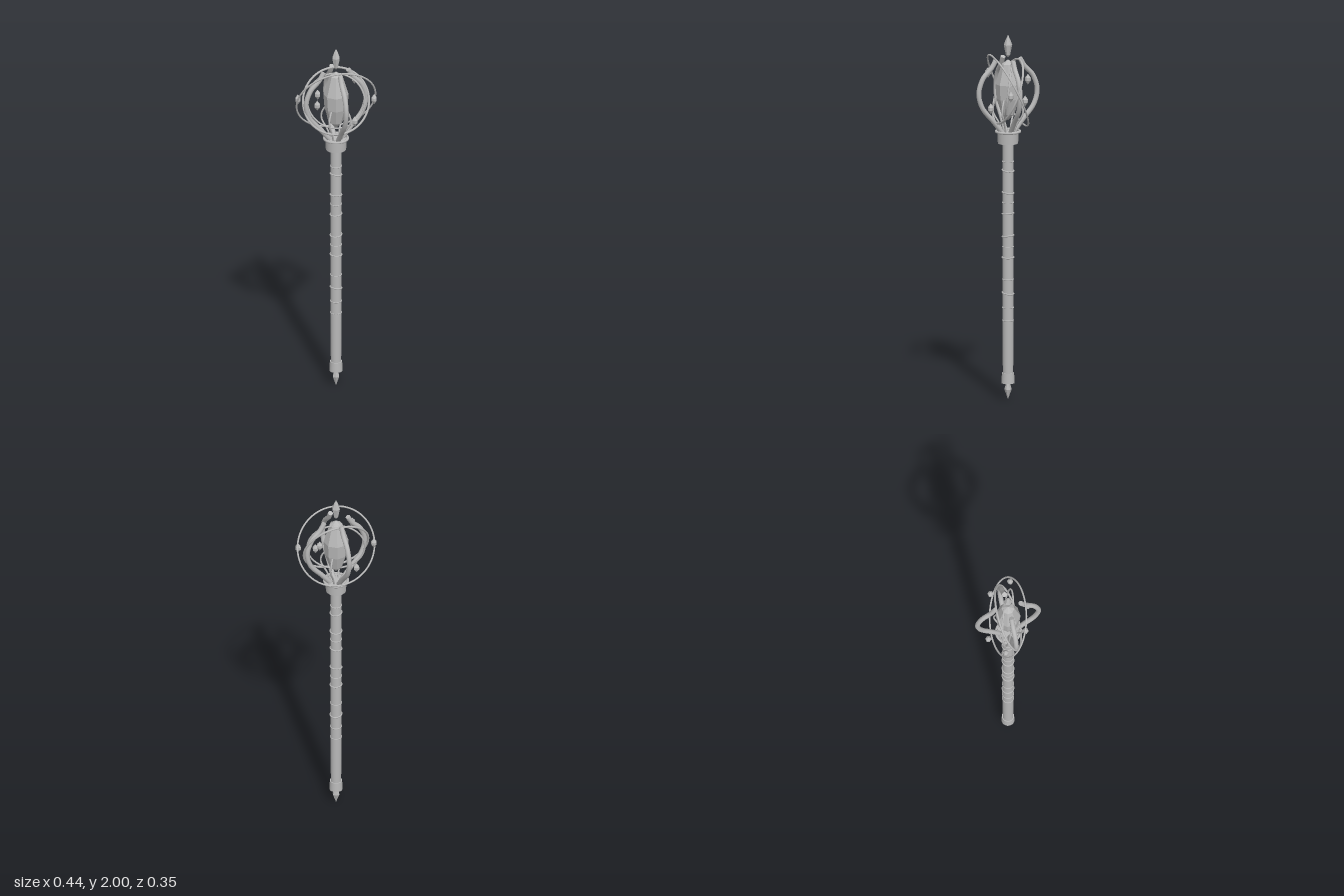
import * as THREE from 'three';

export function createModel() {
  const model = new THREE.Group();
  const grey = new THREE.MeshStandardMaterial({ color: 0xb8b8b8 });
  grey.name = 'grey metal';

  const add = (name, geometry, x = 0, y = 0, z = 0) => {
    const mesh = new THREE.Mesh(geometry, grey);
    mesh.name = name;
    mesh.position.set(x, y, z);
    model.add(mesh);
    return mesh;
  };
  const post = (name, rTop, rBottom, y0, y1, sides = 24) =>
    add(name, new THREE.CylinderGeometry(rTop, rBottom, y1 - y0, sides), 0, (y0 + y1) / 2);
  const ring = (name, radius, tube, y, normal, sides = 64) =>
    add(name, new THREE.TorusGeometry(radius, tube, 8, sides), 0, y).quaternion
      .setFromUnitVectors(new THREE.Vector3(0, 0, 1), new THREE.Vector3(...normal).normalize());
  // Faceted crystal: profile of [radius, height] from bottom to top
  const crystal = (name, profile, sides, x = 0, y = 0, z = 0) => {
    const points = profile.map(([r, h]) => new THREE.Vector2(r, h));
    const geometry = new THREE.LatheGeometry(points, sides).toNonIndexed();
    geometry.computeVertexNormals();
    return add(name, geometry, x, y, z);
  };
  // Round bar bent in a vertical plane at a given angle, with closed ends
  const bar = (name, profile, radius, angle) => {
    const points = profile.map(([r, h]) =>
      new THREE.Vector3(r * Math.cos(angle), h, r * Math.sin(angle)));
    const curve = new THREE.CatmullRomCurve3(points);
    add(name, new THREE.TubeGeometry(curve, 28, radius, 10));
    for (const t of [0, 1]) {
      const cap = add(name + 'End', new THREE.CircleGeometry(radius, 10));
      const end = curve.getPoint(t);
      cap.position.copy(end);
      cap.quaternion.setFromUnitVectors(new THREE.Vector3(0, 0, 1),
        curve.getTangent(t).multiplyScalar(t ? 1 : -1));
    }
  };

  // Shaft, grip and pommel
  post('shaft', 0.03, 0.03, 0.42, 1.41);
  post('grip', 0.03, 0.028, 0.14, 0.43, 32);
  post('pommelCap', 0.033, 0.036, 0.09, 0.145);
  crystal('pommelCrystal', [[0, 0], [0.02, 0.055], [0.012, 0.085], [0, 0.1]], 6);

  // Straight bands and slanted wire wraps on the shaft
  for (const y of [1.305, 1.08, 0.838, 0.66, 0.504, 0.435])
    ring('shaftBand', 0.03, 0.003, y, [0, 1, 0], 24);
  [1.257, 1.135, 1.02, 0.897, 0.78, 0.584].forEach((y, i) => {
    const a = i * 1.3;
    ring('wireWrap', 0.031, 0.004, y, [0.13 * Math.cos(a), 1, -0.13 * Math.sin(a + 1)], 24);
  });

  // Collar under the head
  post('collar', 0.057, 0.055, 1.405, 1.468);
  ring('collarRim', 0.064, 0.007, 1.47, [0, 1, 0], 32);

  // Four curved prongs and four thin tendrils
  for (let i = 0; i < 4; i++) {
    const a = -0.323 + i * Math.PI / 2;
    bar('prong', [[0.03, 1.46], [0.085, 1.53], [0.15, 1.61], [0.17, 1.69],
      [0.145, 1.77], [0.095, 1.825], [0.07, 1.868]], 0.0135, a);
    bar('tendril', [[0.03, 1.46], [0.05, 1.51], [0.085, 1.57], [0.083, 1.61], [0.06, 1.65]],
      0.005, a + 0.76);
  }

  // Core, finial and floating crystals
  crystal('coreCrystal', [[0, 1.53], [0.035, 1.565], [0.062, 1.65], [0.068, 1.73],
    [0.035, 1.84], [0, 1.865]], 8);
  crystal('finialCrystal', [[0, 1.875], [0.012, 1.89], [0.023, 1.945], [0.012, 1.975], [0, 2]], 6);
  for (const [x, y, z] of [[0.205, 1.7, 0], [-0.205, 1.7, 0], [0.1, 1.615, 0.1],
    [-0.1, 1.775, 0.1], [0.1, 1.775, -0.1], [-0.1, 1.615, -0.1]])
    crystal('floatingCrystal', [[0, -0.03], [0.016, -0.008], [0.016, 0.008], [0, 0.03]], 6, x, y, z);

  // Tilted orbit rings
  ring('outerOrbit', 0.217, 0.005, 1.695, [0.2, -0.43, 0.88]);
  ring('middleOrbit', 0.182, 0.006, 1.69, [0.2, 0.35, 0.9]);
  ring('innerOrbit', 0.155, 0.005, 1.69, [-0.08, 0.13, 1]);

  return model;
}
